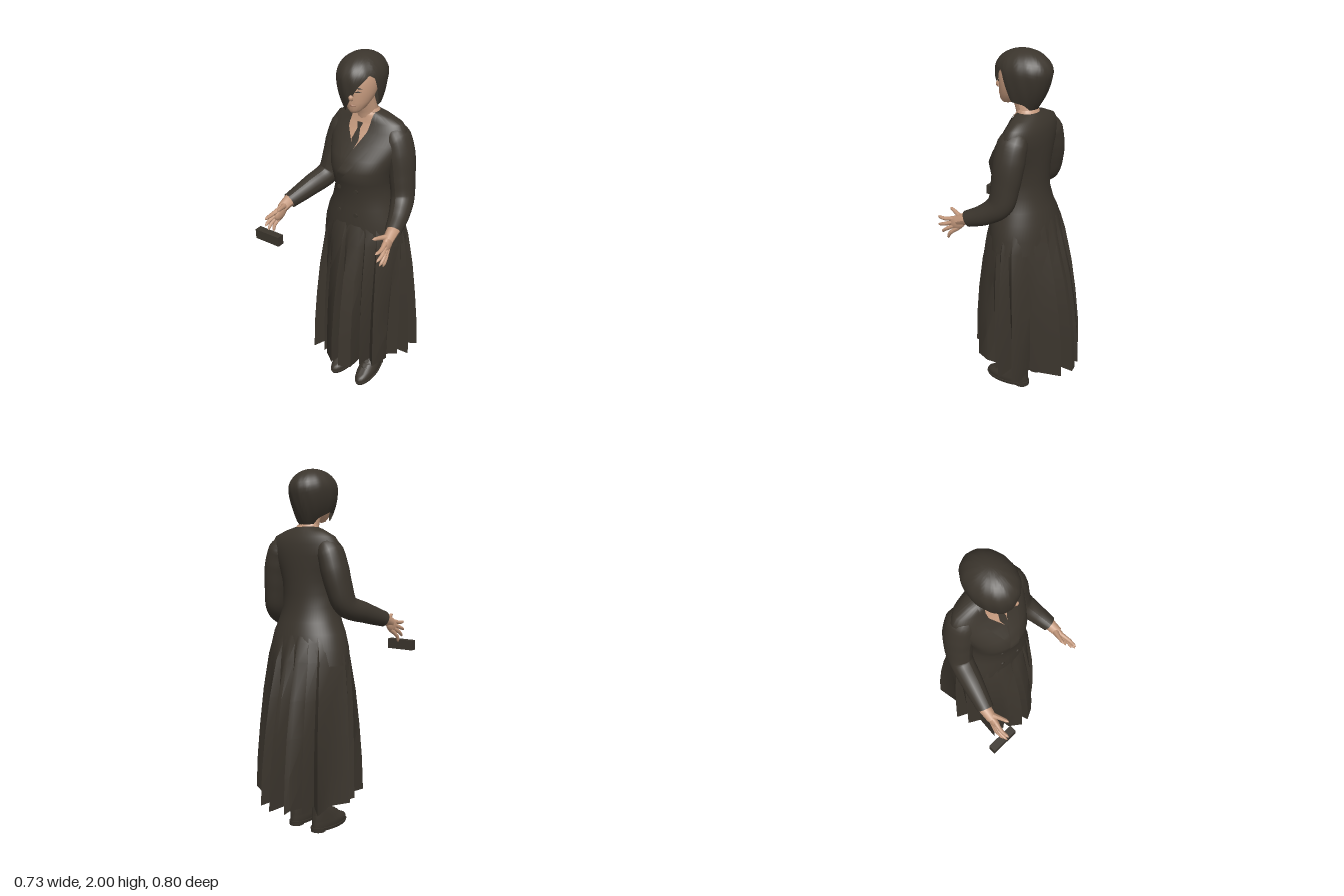
import * as THREE from 'three';
import { toCreasedNormals } from 'three/addons/utils/BufferGeometryUtils.js';

const mat = (name, color) => new THREE.MeshStandardMaterial({ name, color, side: THREE.DoubleSide });
const V = (x, y, z) => new THREE.Vector3(x, y, z);
const lerp = THREE.MathUtils.lerp;

// Straight-line lookup in rows sorted by their first number
function sample(rows, k) {
  if (k <= rows[0][0]) return rows[0];
  for (let i = 1; i < rows.length; i++) {
    if (k <= rows[i][0]) {
      const t = (k - rows[i - 1][0]) / (rows[i][0] - rows[i - 1][0]);
      return rows[i].map((v, j) => lerp(rows[i - 1][j], v, t));
    }
  }
  return rows[rows.length - 1];
}

// Surface through rows of points, bottom row first, running counterclockwise
function grid(rows, closed, crease = 0.8) {
  const n = rows[0].length, idx = [];
  for (let i = 0; i < rows.length - 1; i++) {
    for (let j = 0; j < (closed ? n : n - 1); j++) {
      const k = (j + 1) % n;
      const a = i * n + j, b = i * n + k, c = (i + 1) * n + k, d = (i + 1) * n + j;
      idx.push(a, b, c, a, c, d);
    }
  }
  const g = new THREE.BufferGeometry().setFromPoints(rows.flat());
  g.setIndex(idx);
  g.computeVertexNormals();
  return toCreasedNormals(g, crease);
}

// Stack of oval rings; each row is [y, centre x, half width, front z, back z]
function loft(rows, n = 40) {
  return grid(rows.map(([y, cx, rx, zf, zb]) => Array.from({ length: n }, (_, j) => {
    const a = j / n * Math.PI * 2;
    return V(cx + rx * Math.sin(a), y, (zf + zb) / 2 + (zf - zb) / 2 * Math.cos(a));
  })), true);
}

// Tube whose thickness follows a list of radii, optionally deeper front to back
function limb(points, radii, sides = 16, steps = 24, depth = 1) {
  const curve = new THREE.CatmullRomCurve3(points.map(p => V(...p)));
  const g = new THREE.TubeGeometry(curve, steps, 1, sides);
  const pos = g.attributes.position, v = V(0, 0, 0);
  const table = radii.map((r, i) => [i / (radii.length - 1), r]);
  for (let i = 0; i < pos.count; i++) {
    const t = Math.floor(i / (sides + 1)) / steps, p = curve.getPointAt(t);
    v.fromBufferAttribute(pos, i).sub(p).multiplyScalar(sample(table, t)[1]);
    pos.setXYZ(i, p.x + v.x, p.y + v.y, p.z + v.z * depth);
  }
  g.computeVertexNormals();
  return g;
}

const torso = [
  [0.98, 0.04, 0.243, 0.112, -0.25], [1.06, 0.04, 0.232, 0.112, -0.24], [1.14, 0.043, 0.21, 0.108, -0.225],
  [1.2, 0.045, 0.183, 0.102, -0.205], [1.28, 0.043, 0.16, 0.097, -0.185], [1.35, 0.043, 0.162, 0.115, -0.183],
  [1.42, 0.043, 0.172, 0.128, -0.185], [1.48, 0.043, 0.19, 0.095, -0.187], [1.55, 0.045, 0.213, 0.04, -0.188],
  [1.61, 0.045, 0.218, 0, -0.184], [1.65, 0.045, 0.19, -0.02, -0.172], [1.68, 0.045, 0.125, -0.028, -0.152],
  [1.7, 0.042, 0.062, -0.03, -0.133],
];
function torsoZ(x, y) {
  const [, cx, rx, zf, zb] = sample(torso, y);
  const s = Math.sqrt(Math.max(0, 1 - ((x - cx) / rx) ** 2));
  return (zf + zb) / 2 + (zf - zb) / 2 * s;
}

// Thin panel lying on the chest; each row is [y, left x, right x]
function panel(rows, lift) {
  const out = [], y0 = rows[0][0], y1 = rows[rows.length - 1][0];
  for (let i = 0; i <= 24; i++) {
    const [y, a, b] = sample(rows, lerp(y0, y1, i / 24));
    out.push(Array.from({ length: 9 }, (_, j) => {
      const x = lerp(a, b, j / 8);
      return V(x, y, torsoZ(x, y) + lift);
    }));
  }
  return grid(out, false);
}

// Hem outline of the pleated skirt as x, z, from the front towards +x
const hem = [
  [-0.05, 0.2], [0.02, 0.255], [0.035, 0.13], [0.07, 0.257], [0.135, 0.225], [0.13, 0.12], [0.17, 0.185],
  [0.18, 0.09], [0.23, 0.14], [0.27, 0.05], [0.24, 0], [0.3, -0.03], [0.25, -0.055], [0.345, -0.08],
  [0.25, -0.11], [0.35, -0.175], [0.29, -0.2], [0.2, -0.2], [0.18, -0.25], [0.14, -0.375], [0.09, -0.26],
  [0.06, -0.4], [0.03, -0.4], [0.01, -0.26], [-0.03, -0.385], [-0.055, -0.37], [-0.07, -0.26], [-0.11, -0.33],
  [-0.12, -0.24], [-0.19, -0.3], [-0.17, -0.16], [-0.245, -0.08], [-0.17, -0.05], [-0.22, 0], [-0.15, 0.04],
  [-0.16, 0.18], [-0.1, 0.09], [-0.08, 0.185], [-0.06, 0.11],
];
function skirtGeometry() {
  // [y, half width, half depth, how far the ring follows the hem]
  const rings = [[0.21, 0.25, 0.25, 1], [0.4, 0.25, 0.24, 0.88], [0.6, 0.25, 0.225, 0.66], [0.8, 0.248, 0.205, 0.42],
    [1, 0.238, 0.182, 0.16], [1.1, 0.216, 0.168, 0.05], [1.2, 0.17, 0.14, 0]];
  return grid(rings.map(([y, rx, rz, s]) => hem.map(([x, z], j) => {
    const a = Math.atan2(x - 0.04, z + 0.06);
    return V(lerp(0.04 + rx * Math.sin(a), x, s), y + s * 0.012 * Math.sin(j * 2.3),
      lerp(-0.062 + rz * Math.cos(a), z, s));
  })), true, 0.9);
}

// Bobbed hair with a long fringe swept over the right side of the face
const hairEdge = [[-180, 1.675], [-150, 1.69], [-115, 1.745], [-80, 1.775], [-45, 1.765], [-14, 1.73], [5, 1.78],
  [30, 1.865], [55, 1.92], [68, 1.9], [85, 1.76], [115, 1.745], [150, 1.69], [180, 1.675]];
function hairGeometry() {
  const rows = [];
  for (let i = 0; i <= 20; i++) {
    rows.push(Array.from({ length: 96 }, (_, j) => {
      const deg = -180 + j * 3.75, a = deg * Math.PI / 180;
      const low = sample(hairEdge, deg)[1];
      const y = low + (2 - low) * Math.sin(i / 20 * Math.PI / 2), h = y - 1.89;
      const back = Math.max(0, -Math.cos(a)), right = Math.max(0, -Math.sin(a));
      // Rounded crown, sides drawn in below it, nape drawn in most
      let r = h > 0 ? Math.sqrt(Math.max(0, 1 - (h / 0.11) ** 2))
        : 1 - (9 + 8 * right * right) * h * h + back * h * 1.1;
      r *= 1 + 0.008 * Math.sin(a * 13 + y * 25);
      return V(0.028 + 0.118 * r * Math.sin(a), y, -0.043 + 0.153 * r * Math.cos(a));
    }));
  }
  return grid(rows, true, 1);
}

export function createModel() {
  const cloth = mat('dark cloth', 0x3b352d), skin = mat('skin', 0xc4997d), lip = mat('lips', 0xa87a63);
  const model = new THREE.Group();
  const add = (name, geo, material, parent = model) => {
    const m = new THREE.Mesh(geo, material);
    m.name = name;
    parent.add(m);
    return m;
  };

  // Clothes
  add('skirt', skirtGeometry(), cloth);
  add('jacket', loft(torso, 64), cloth);
  add('shirtCollar', loft([[1.68, 0.042, 0.066, -0.022, -0.137], [1.7, 0.042, 0.063, -0.024, -0.132],
    [1.713, 0.04, 0.056, -0.028, -0.122]]), skin);
  add('shirt', panel([[1.53, 0.035, 0.045], [1.62, -0.03, 0.095], [1.7, -0.018, 0.1]], 0.005), skin);
  add('tie', panel([[1.53, 0.034, 0.046], [1.57, 0.016, 0.058], [1.62, 0.03, 0.046], [1.648, 0.022, 0.056]], 0.009), cloth);
  add('leftLapel', panel([[1.33, -0.042, -0.036], [1.42, -0.005, 0.05], [1.53, 0.046, 0.125], [1.61, 0.09, 0.15],
    [1.69, 0.1, 0.115]], 0.008), cloth);
  add('rightLapel', panel([[1.46, 0, 0.01], [1.53, -0.035, 0.034], [1.61, -0.07, -0.024], [1.69, -0.045, -0.03]], 0.007), cloth);
  for (const y of [1.17, 1.31]) for (const x of [-0.02, 0.087]) {
    const b = add('button', new THREE.CylinderGeometry(0.012, 0.012, 0.008, 16), cloth);
    b.rotation.x = Math.PI / 2;
    b.position.set(x, y, torsoZ(x, y) + 0.002);
  }

  // Sleeves
  const sleeve = [0.035, 0.067, 0.071, 0.067, 0.062, 0.059, 0.051, 0.042];
  add('leftSleeve', limb([[0.13, 1.63, -0.096], [0.2, 1.585, -0.095], [0.236, 1.48, -0.09], [0.252, 1.38, -0.082],
    [0.272, 1.265, -0.06], [0.3, 1.2, 0.02], [0.322, 1.16, 0.112]], sleeve, 20, 40, 1.2), cloth);
  add('rightSleeve', limb([[-0.04, 1.63, -0.096], [-0.11, 1.585, -0.095], [-0.146, 1.48, -0.09], [-0.163, 1.4, -0.08],
    [-0.186, 1.295, -0.045], [-0.224, 1.245, 0.08], [-0.264, 1.2, 0.215]], sleeve, 20, 40, 1.2), cloth);

  // Hands, each built around its wrist
  const tips = [[0.014, -0.03, 0.178], [0.02, -0.075, 0.174], [0.022, -0.112, 0.15], [0.02, -0.14, 0.11]];
  for (const [name, side, pos] of [['leftHand', 1, [0.322, 1.158, 0.122]], ['rightHand', -1, [-0.268, 1.198, 0.222]]]) {
    const hand = new THREE.Group();
    hand.name = name;
    const part = (n, pts, radii) => add(n, limb(pts.map(([x, y, z]) => [x * side, y, z]), radii, 10, 16), skin, hand);
    part('wrist', [[-0.003, 0.015, -0.04], [0, 0, 0], [0.006, -0.022, 0.05]], [0.034, 0.032, 0.027]);
    const palm = add('palm', new THREE.SphereGeometry(1, 18, 12), skin, hand);
    palm.scale.set(0.02, 0.038, 0.056);
    palm.position.set(0.007 * side, -0.036, 0.055);
    palm.rotation.x = 0.55;
    tips.forEach(([x, y, z], i) => part('finger', [[0.007, -0.018 - i * 0.014, 0.07 - i * 0.009],
      [x + 0.003, lerp(-0.03 - i * 0.014, y, 0.5), lerp(0.075, z, 0.55)], [x, y, z]],
    [0.013, 0.013, 0.012, 0.011, 0.011, 0.01, 0.009, 0.008, 0.001]));
    part('thumb', [[0, -0.01, 0.03], [-0.018, 0.003, 0.075], [-0.035, 0.015, 0.13]],
      [0.02, 0.017, 0.014, 0.012, 0.011, 0.01, 0.009, 0.001]);
    hand.position.set(...pos);
    model.add(hand);
  }
  const box = add('smallBox', new THREE.BoxGeometry(0.155, 0.055, 0.04), cloth);
  box.position.set(-0.291, 1.043, 0.365);

  // Neck, head and face
  add('neck', limb([[0.04, 1.63, -0.085], [0.04, 1.7, -0.068], [0.04, 1.79, -0.035]], [0.062, 0.053, 0.05]), skin);
  add('head', loft([[1.722, 0.045, 0.002, 0.058, 0.045], [1.727, 0.045, 0.022, 0.073, 0.02], [1.745, 0.043, 0.043, 0.084, -0.03],
    [1.78, 0.04, 0.064, 0.087, -0.08], [1.82, 0.038, 0.077, 0.087, -0.11], [1.87, 0.035, 0.083, 0.09, -0.13],
    [1.92, 0.033, 0.075, 0.07, -0.13], [1.96, 0.03, 0.045, 0.03, -0.09]]), skin);
  add('nose', limb([[0.05, 1.85, 0.082], [0.052, 1.825, 0.09], [0.053, 1.806, 0.097], [0.053, 1.798, 0.084]],
    [0.005, 0.009, 0.012, 0.004], 10), skin);
  add('lips', limb([[0.03, 1.768, 0.079], [0.051, 1.77, 0.086], [0.07, 1.768, 0.077]], [0.001, 0.006, 0.001], 8), lip);
  add('eye', limb([[0.066, 1.836, 0.081], [0.078, 1.839, 0.075], [0.092, 1.835, 0.064]], [0.001, 0.004, 0.001], 8), cloth);
  add('eyebrow', limb([[0.064, 1.852, 0.084], [0.08, 1.858, 0.077], [0.098, 1.853, 0.062]], [0.001, 0.003, 0.001], 8), cloth);
  add('hair', hairGeometry(), cloth);

  // Legs, and shoes resting on their toes
  for (const [name, x, turn] of [['rightLeg', -0.043, -0.06], ['leftLeg', 0.125, 0.06]]) {
    const leg = new THREE.Group(), shoe = new THREE.Group();
    leg.name = name;
    shoe.name = 'shoe';
    add('stocking', loft([[0.09, 0, 0.034, -0.035, -0.13], [0.2, 0, 0.035, -0.035, -0.135], [0.4, 0, 0.05, -0.02, -0.15],
      [0.62, 0, 0.05, -0.005, -0.125], [0.95, 0, 0.07, 0.03, -0.15]], 24), cloth, leg);
    add('upper', loft([[0.02, 0, 0.001, 0.01, 0], [0.02, 0, 0.05, 0.14, -0.132], [0.042, 0, 0.055, 0.142, -0.135],
      [0.058, 0, 0.053, 0.13, -0.135], [0.068, 0, 0.051, 0.105, -0.136], [0.09, 0, 0.048, 0.06, -0.137],
      [0.12, 0, 0.043, 0.012, -0.137], [0.135, 0, 0.04, -0.02, -0.135], [0.13, 0, 0.001, -0.07, -0.08]], 32), cloth, shoe);
    add('sole', loft([[0.01, 0, 0.001, 0.01, 0], [0.01, 0, 0.054, 0.142, -0.135], [0.027, 0, 0.058, 0.148, -0.14],
      [0.027, 0, 0.001, 0.01, 0]], 32), cloth, shoe);
    add('heel', loft([[0.002, 0, 0.001, -0.08, -0.09], [0.002, 0, 0.04, -0.045, -0.137], [0.025, 0, 0.042, -0.04, -0.14]], 24), cloth, shoe);
    for (let i = 0; i < 3; i++) {
      const y = 0.086 + i * 0.016, z = 0.066 - i * 0.025;
      add('lace', limb([[-0.025, y - 0.004, z - 0.012], [0, y + 0.003, z + 0.002], [0.025, y - 0.004, z - 0.012]],
        [0.002, 0.003, 0.002], 8, 10), cloth, shoe);
    }
    shoe.rotation.x = 0.06;
    shoe.position.y = -0.0015;
    leg.add(shoe);
    leg.position.x = x;
    leg.rotation.y = turn;
    model.add(leg);
  }
  return model;
}
